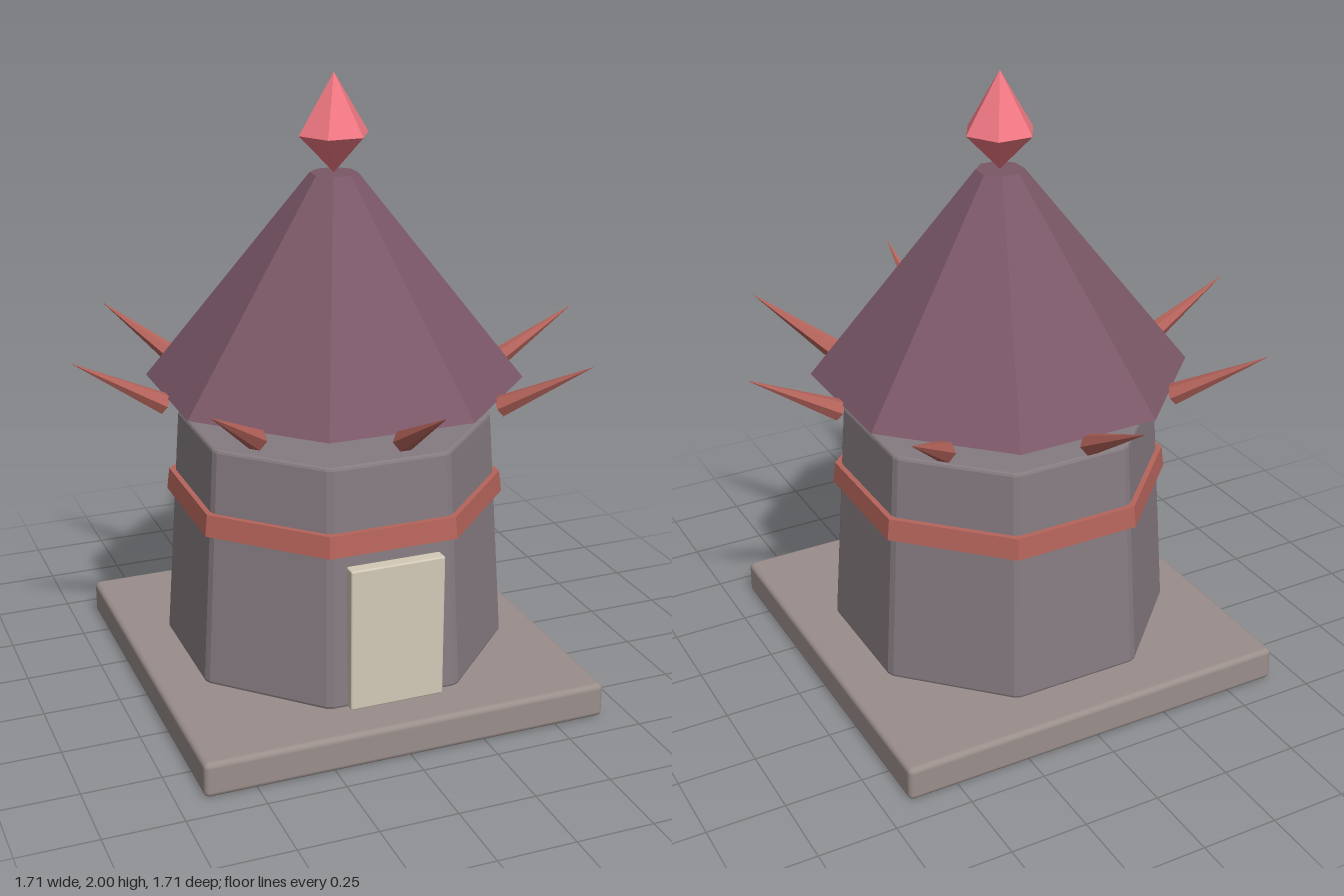
import * as THREE from 'three';
import { RoundedBoxGeometry } from 'three/addons/geometries/RoundedBoxGeometry.js';

const material = (color, flatShading = true) => new THREE.MeshStandardMaterial({ color, flatShading });

function part(name, geometry, mat, y = 0, z = 0) {
  const mesh = new THREE.Mesh(geometry, mat);
  mesh.name = name;
  mesh.position.set(0, y, z);
  return mesh;
}

// Octagonal frustum with a flat side to the front; sizes are centre-to-side
function octagon(top, bottom, height) {
  const k = 1 / Math.cos(Math.PI / 8);
  return new THREE.CylinderGeometry(top * k, bottom * k, height, 8).rotateY(Math.PI / 8);
}

// Octagonal wall with softened corners, leaning inwards towards the top
function wallGeometry(bottom, top, height) {
  const bevel = 0.01;
  const radius = bottom / Math.cos(Math.PI / 8);
  const corner = i => new THREE.Vector2().setFromPolar
    ? null
    : new THREE.Vector2(Math.cos((i + 0.5) * Math.PI / 4), Math.sin((i + 0.5) * Math.PI / 4)).multiplyScalar(radius);
  const points = [];
  for (let i = 0; i < 8; i++) {
    points.push(corner(i).lerp(corner(i - 1), 0.03), corner(i).lerp(corner(i + 1), 0.03));
  }
  const geometry = new THREE.ExtrudeGeometry(new THREE.Shape(points), {
    depth: height - 2 * bevel, bevelThickness: bevel, bevelSize: bevel, bevelOffset: -bevel, bevelSegments: 2,
  });
  geometry.translate(0, 0, bevel).rotateX(-Math.PI / 2);
  const pos = geometry.attributes.position;
  for (let i = 0; i < pos.count; i++) {
    const s = THREE.MathUtils.lerp(1, top / bottom, pos.getY(i) / height);
    pos.setXYZ(i, pos.getX(i) * s, pos.getY(i), pos.getZ(i) * s);
  }
  geometry.computeVertexNormals();
  return geometry;
}

export function createModel() {
  const group = new THREE.Group();
  const base = material(0x9a8e8b, false);
  const stone = material(0x857b80);
  const trim = material(0xb5645b);
  const tiles = material(0x7b5767);
  const wood = material(0xd3c9b7, false);
  const crystal = material(0xf07882);

  // Square plinth, tower wall, band and door
  group.add(part('plinth', new RoundedBoxGeometry(1.33, 0.115, 1.33, 2, 0.018), base, 0.0575));
  group.add(part('towerWall', wallGeometry(0.52, 0.47, 0.78), stone, 0.125));
  group.add(part('wallBand', octagon(0.5, 0.508, 0.07), trim, 0.665));
  group.add(part('door', new RoundedBoxGeometry(0.31, 0.47, 0.045, 2, 0.006), wood, 0.36, 0.522));

  // Roof hovering above the wall
  group.add(part('roof', octagon(0.07, 0.56, 0.665), tiles, 1.3575));

  // Ring of spikes pointing out and up
  const spikes = new THREE.Group();
  spikes.name = 'roofSpikes';
  const spikeGeometry = new THREE.ConeGeometry(0.035, 0.335, 6)
    .translate(0, 0.1675, 0).rotateZ(-Math.PI / 3).translate(0.565, 1.003, 0);
  for (let i = 0; i < 8; i++) {
    const spike = part('roofSpike', spikeGeometry, trim);
    spike.rotation.y = i * Math.PI / 4;
    spikes.add(spike);
  }
  group.add(spikes);

  // Crystal finial: two six-sided cones in one profile
  const profile = [[0, 1.69], [0.115, 1.81], [0, 2]].map(([x, y]) => new THREE.Vector2(x, y));
  group.add(part('crystalFinial', new THREE.LatheGeometry(profile, 6, Math.PI / 2), crystal));

  return group;
}
